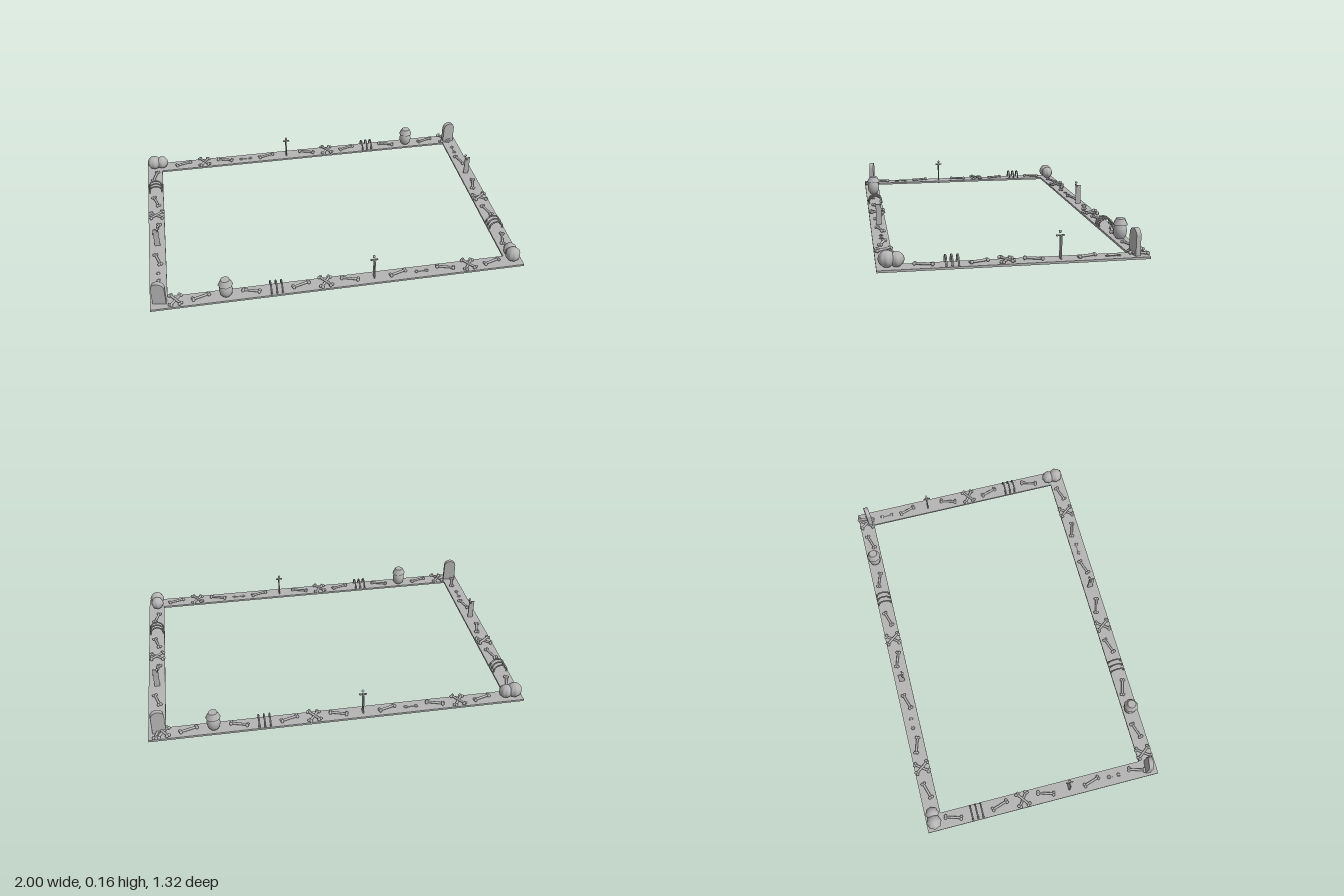
import * as THREE from 'three';

const grey = new THREE.MeshStandardMaterial({ color: 0xb4b4b4 });
grey.name = 'stone grey';

const PITCH = 0.1308;

function add(parent, name, geometry, x = 0, y = 0, z = 0) {
  const mesh = new THREE.Mesh(geometry, grey);
  mesh.name = name;
  mesh.position.set(x, y, z);
  parent.add(mesh);
  return mesh;
}

function named(name) {
  const group = new THREE.Group();
  group.name = name;
  return group;
}

// Long bone lying along x, with a pair of knobs at each end
const shaftGeo = new THREE.CylinderGeometry(0.0065, 0.0065, 0.09, 12).rotateZ(Math.PI / 2);
const knobGeo = new THREE.SphereGeometry(0.0085, 12, 8);
function bone(angle, y = 0.03) {
  const g = named('bone');
  add(g, 'shaft', shaftGeo);
  for (const sx of [-1, 1])
    for (const sz of [-1, 1]) add(g, 'knob', knobGeo, sx * 0.043, 0, sz * 0.0065);
  g.position.y = y;
  g.rotation.y = angle;
  return g;
}

function crossedBones() {
  const g = named('crossedBones');
  g.add(bone(0.93, 0.028), bone(-0.93, 0.033));
  return g;
}

// Three arched ribs standing across the border
const ribGeo = new THREE.TorusGeometry(0.038, 0.0045, 8, 20, Math.PI).rotateY(Math.PI / 2);
function ribs() {
  const g = named('ribs');
  for (const i of [-1, 0, 1]) {
    add(g, 'rib', ribGeo, i * 0.029, 0.028, 0);
    for (const s of [-1, 1])
      add(g, 'ribFoot', new THREE.SphereGeometry(0.0055, 8, 6), i * 0.029, 0.026, s * 0.038);
  }
  return g;
}

// Thin upright with a crossbar and a small ball on top
function post() {
  const g = named('post');
  add(g, 'upright', new THREE.BoxGeometry(0.006, 0.122, 0.03), 0, 0.074, 0);
  add(g, 'peg', new THREE.BoxGeometry(0.008, 0.016, 0.012), 0, 0.008, -0.008);
  add(g, 'crossbar', new THREE.BoxGeometry(0.04, 0.007, 0.007), 0, 0.133, -0.01);
  add(g, 'ball', new THREE.SphereGeometry(0.0075, 12, 8), 0, 0.151, -0.014);
  return g;
}

// Two flat rings joined by a link
function chain() {
  const g = named('chain');
  const ring = new THREE.TorusGeometry(0.009, 0.0025, 6, 16).rotateX(Math.PI / 2);
  for (const s of [-1, 1]) add(g, 'ring', ring, s * 0.028, 0.022, 0);
  add(g, 'link', new THREE.BoxGeometry(0.038, 0.004, 0.006), 0, 0.022, 0);
  return g;
}

// Round urn with a flared cap
function urn() {
  const g = named('urn');
  const profile = [[0, 0.02], [0.02, 0.02], [0.032, 0.037], [0.036, 0.06], [0.033, 0.08], [0.026, 0.097]]
    .map(([x, y]) => new THREE.Vector2(x, y));
  add(g, 'body', new THREE.LatheGeometry(profile, 24));
  add(g, 'cap', new THREE.CylinderGeometry(0.024, 0.04, 0.032, 8), 0, 0.112, 0);
  return g;
}

// Ribbed, slightly squashed gourd
function gourd(r) {
  const geo = new THREE.SphereGeometry(r, 40, 16);
  const p = geo.attributes.position;
  for (let i = 0; i < p.count; i++) {
    const a = Math.atan2(p.getZ(i), p.getX(i));
    const k = 0.96 + 0.04 * Math.cos(8 * a);
    p.setXYZ(i, p.getX(i) * k, p.getY(i), p.getZ(i) * k);
  }
  geo.computeVertexNormals();
  return geo;
}

function gourds(x, z, dx, dz) {
  const g = named('gourds');
  add(g, 'largeGourd', gourd(0.041), x, 0.061, z);
  add(g, 'smallGourd', gourd(0.037), x + dx, 0.057, z + dz);
  return g;
}

// Round-topped headstone
function headstone(x, z, turn) {
  const g = named('headstone');
  const s = new THREE.Shape();
  s.moveTo(-0.035, 0.015);
  s.lineTo(0.035, 0.015);
  s.lineTo(0.035, 0.12);
  s.absarc(0, 0.12, 0.035, 0, Math.PI, false);
  s.closePath();
  const geo = new THREE.ExtrudeGeometry(s, { depth: 0.025, bevelEnabled: false, curveSegments: 16 });
  add(g, 'slab', geo.translate(0, 0, -0.0125));
  add(g, 'peg', new THREE.BoxGeometry(0.03, 0.016, 0.015), 0, 0.008, 0);
  g.position.set(x, 0, z);
  g.rotation.y = turn;
  return g;
}

const makers = { X: crossedBones, r: ribs, p: post, c: chain, u: urn };

// Lays a row along local x with outward +z; b marks a bone with alternating tilt
function row(name, pattern, start, distance, turn, tilt) {
  const g = named(name);
  [...pattern].forEach((key, i) => {
    let item;
    if (key === 'b') {
      item = bone(tilt);
      tilt = -tilt;
    } else item = makers[key]();
    item.position.x = start + i * PITCH;
    item.position.z = distance;
    g.add(item);
  });
  g.rotation.y = turn;
  return g;
}

export function createModel() {
  const model = named('graveyardBorder');

  // Flat rectangular border
  for (const s of [-1, 1]) {
    add(model, 'longBorder', new THREE.BoxGeometry(2, 0.011, 0.086), 0, 0.0155, s * 0.612);
    add(model, 'sideBorder', new THREE.BoxGeometry(0.09, 0.011, 1.138), s * 0.955, 0.0155, 0);
  }

  // Decorations on the four sides
  const long = 'XbubrbXbpbcbXb', short = 'brbXbpbcb';
  model.add(row('frontRow', long, -0.87, 0.608, 0, 0.3));
  model.add(row('backRow', long, -0.925, 0.612, Math.PI, 0.3));
  model.add(row('rightRow', short, -0.505, 0.953, -Math.PI / 2, -0.3));
  model.add(row('leftRow', short, -0.435, 0.953, Math.PI / 2, -0.3));

  // Corner pieces
  model.add(headstone(-0.95, 0.605, -0.15));
  model.add(headstone(0.945, -0.592, 0.15));
  model.add(gourds(0.948, 0.605, 0, -0.045));
  model.add(gourds(-0.955, -0.612, 0.047, 0));
  return model;
}
